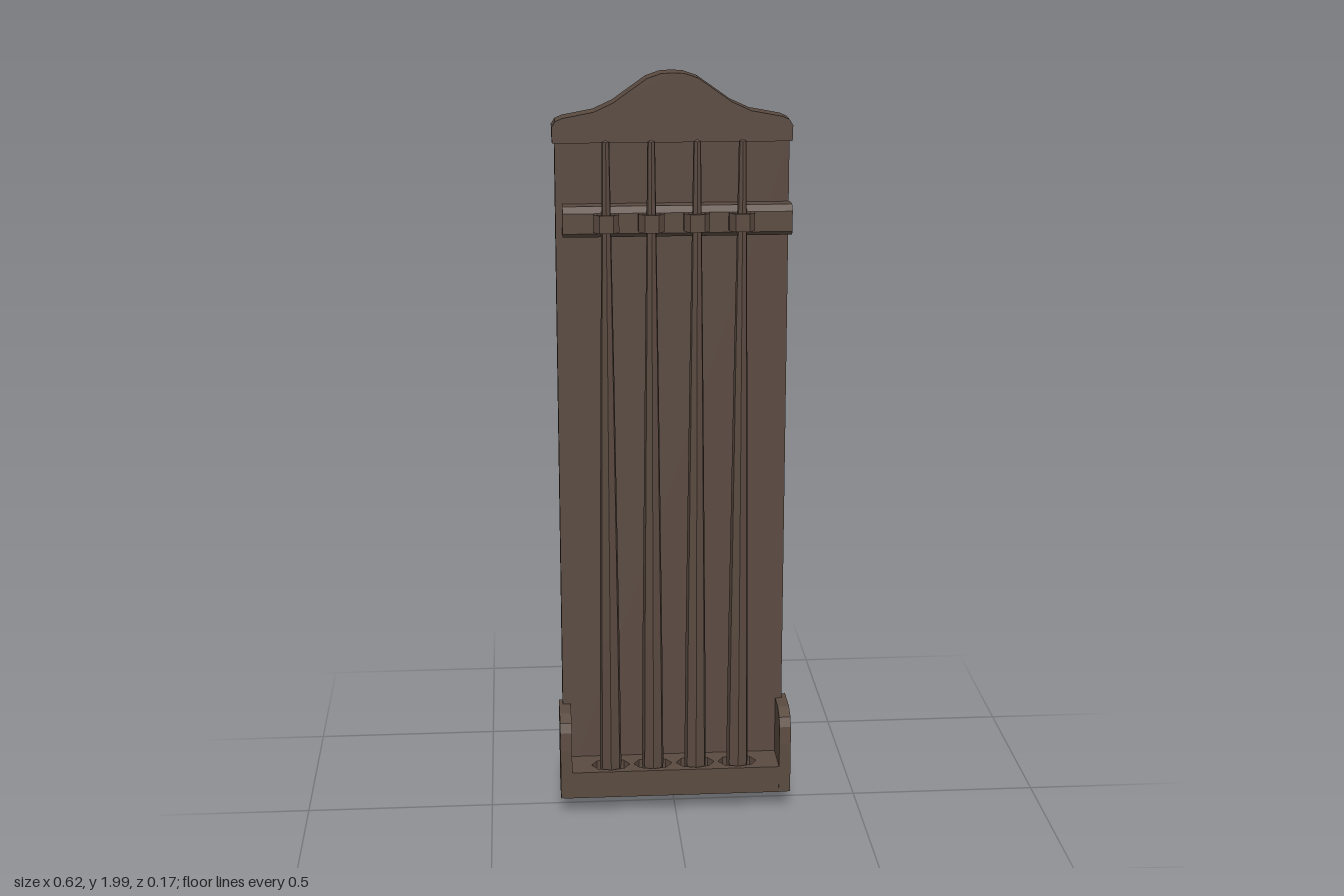
import * as THREE from 'three';

export function createModel() {
  const group = new THREE.Group();
  group.name = 'cueRack';
  const wood = new THREE.MeshStandardMaterial({ color: 0x5b4b41, flatShading: true });
  wood.name = 'dark wood';

  const add = (name, geometry, x = 0, y = 0, z = 0) => {
    const mesh = new THREE.Mesh(geometry, wood);
    mesh.name = name;
    mesh.position.set(x, y, z);
    group.add(mesh);
    return mesh;
  };
  const outline = (points) => new THREE.Shape(points.map(([a, b]) => new THREE.Vector2(a, b)));
  const extrude = (shape, depth) =>
    new THREE.ExtrudeGeometry(shape, { depth, bevelEnabled: false, curveSegments: 8 });
  // Side profile given as [z, y], running from x0 to x1
  const sideExtrude = (points, x0, x1) =>
    extrude(outline(points.map(([z, y]) => [-z, y])), x1 - x0).rotateY(Math.PI / 2).translate(x0, 0, 0);

  const cueX = [-0.175, -0.06, 0.056, 0.171];

  // Backboard
  add('backboard', new THREE.BoxGeometry(0.6, 1.82, 0.055), -0.002, 0.92, -0.0535);

  // Shaped crown
  const half = [[0.306, 1.825], [0.307, 1.865], [0.298, 1.88], [0.28, 1.888], [0.2, 1.903],
    [0.15, 1.926], [0.105, 1.958], [0.065, 1.986], [0.03, 1.998]];
  const crown = [...half, [0, 2], ...half.map(([x, y]) => [-x, y]).reverse()];
  add('crown', extrude(outline(crown), 0.073), -0.002, 0, -0.083);

  // Upper rail with chamfered front edges
  add('rail', sideExtrude([[-0.03, 1.59], [0.022, 1.59], [0.03, 1.6], [0.03, 1.652],
    [0.016, 1.668], [-0.03, 1.668]], -0.285, 0.302));

  // Tray block with a through hole for each cue (shape drawn as x, -z)
  const trayShape = outline([[-0.305, -0.082], [0.305, -0.082], [0.305, 0.03], [-0.305, 0.03]]);
  cueX.forEach((x) => {
    const hole = new THREE.Path();
    for (let i = 0; i < 8; i++) {
      const a = (-i / 8) * Math.PI * 2;
      const px = x + 0.052 * Math.cos(a), py = -0.034 + 0.036 * Math.sin(a);
      if (i) hole.lineTo(px, py); else hole.moveTo(px, py);
    }
    hole.closePath();
    trayShape.holes.push(hole);
  });
  const tray = extrude(trayShape, 0.083).rotateX(-Math.PI / 2).translate(0, 0.052, 0);
  // Underside slopes down towards the board
  const pos = tray.attributes.position;
  for (let i = 0; i < pos.count; i++) {
    if (pos.getY(i) < 0.08) pos.setY(i, 0.049 + pos.getZ(i) * 0.14);
  }
  tray.computeVertexNormals();
  add('tray', tray);

  // Tray cheeks
  const cheek = [[-0.036, 0.045], [0.083, 0.062], [0.083, 0.2], [0.08, 0.25], [0.07, 0.275],
    [0.035, 0.291], [-0.056, 0.292]];
  add('rightCheek', sideExtrude(cheek, -0.312, -0.281));
  add('leftCheek', sideExtrude(cheek, 0.281, 0.312));

  // Cues and the clips that hold them
  const clipOuter = [[-0.033, -0.026], [-0.033, -0.046], [-0.018, -0.064], [0.018, -0.064],
    [0.033, -0.046], [0.033, -0.026]];
  const clipInner = [[0.023, -0.026], [0.023, -0.043], [0.013, -0.056], [-0.013, -0.056],
    [-0.023, -0.043], [-0.023, -0.026]];
  cueX.forEach((x, i) => {
    const profile = [[0, 0.055], [0.026, 0.055], [0.03, 0.14], [0.027, 0.5], [0.018, 1.25],
      [0.011, 1.75], [0.01, 1.835], [0, 1.84]];
    const cue = new THREE.LatheGeometry(profile.map(([r, y]) => new THREE.Vector2(r, y)), 7);
    const cueMesh = add('cue' + (i + 1), cue, x, 0, 0.035);
    cueMesh.rotation.x = 0.004;
    const clip = extrude(outline([...clipOuter, ...clipInner]), 0.046).rotateX(-Math.PI / 2);
    add('clip' + (i + 1), clip, x, 1.606, 0);
  });

  return group;
}
